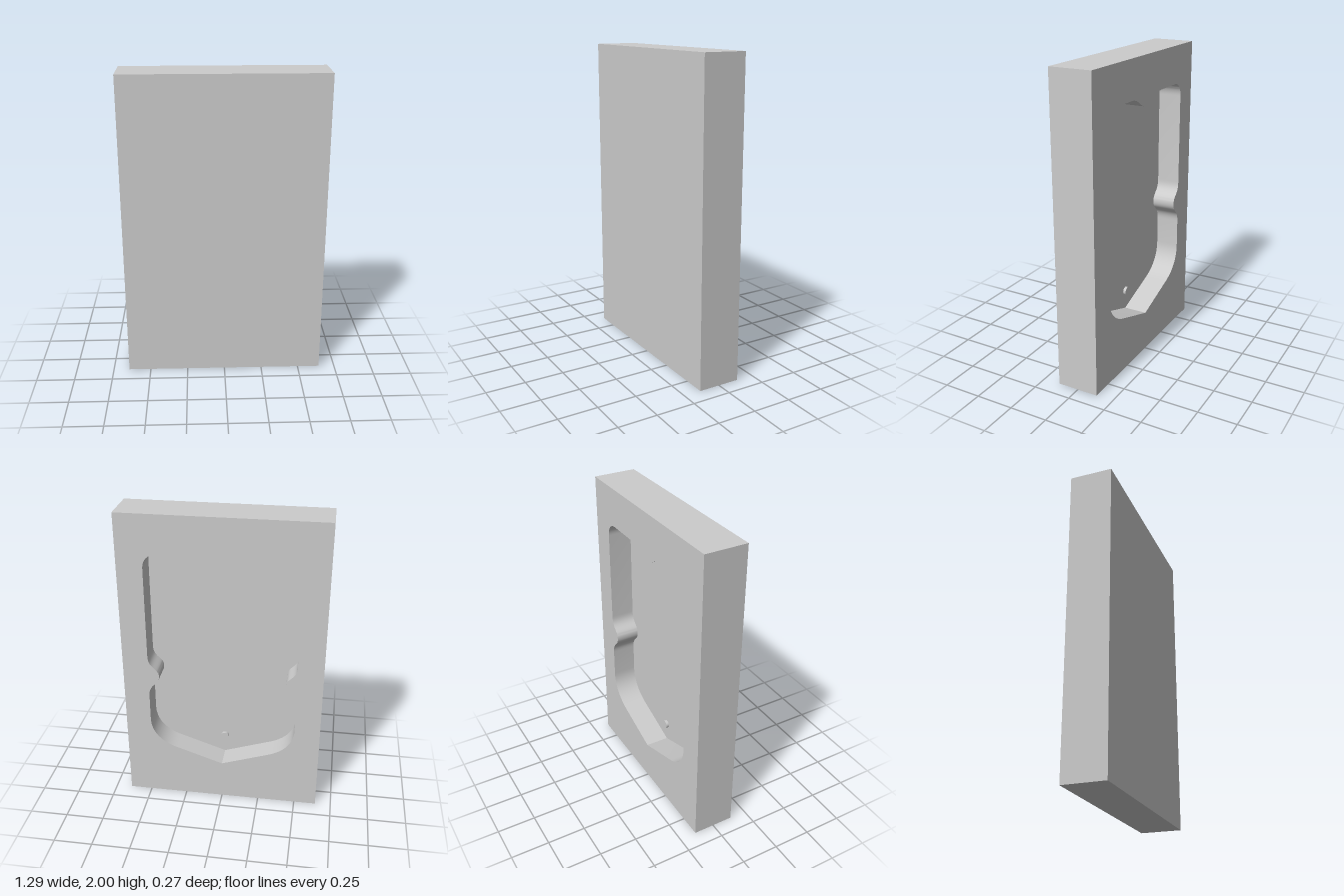
import * as THREE from 'three';
import { toCreasedNormals } from 'three/addons/utils/BufferGeometryUtils.js';

const W = 1.29, H = 2, BACK = -0.137, FRONT = 0.137, FLOOR = 0.018;

// One half of the recess outline, from the bottom point up to the top notch.
// Each entry is a line [x, y] or a cubic [c1x, c1y, c2x, c2y, x, y].
const HALF = [
  [0.31, 0.375],
  [0.41, 0.408, 0.48, 0.48, 0.48, 0.59],
  [0.48, 0.77],
  [0.48, 0.86, 0.41, 0.85, 0.41, 0.917],
  [0.41, 0.98, 0.48, 0.97, 0.48, 1.06],
  [0.48, 1.66],
  [0.48, 1.715, 0.445, 1.753, 0.39, 1.753],
  [0.2, 1.753],
  [0.1, 1.753, 0.09, 1.686, 0, 1.686],
];

function recessPath() {
  const start = [0, 0.27];
  const path = new THREE.Path();
  path.moveTo(...start);
  const add = (p) => (p.length === 2 ? path.lineTo(...p) : path.bezierCurveTo(...p));
  HALF.forEach(add);
  // Mirrored half, walked in reverse
  const flip = (p) => p.map((v, i) => (i % 2 ? v : -v));
  for (let i = HALF.length - 1; i >= 0; i--) {
    const end = i ? HALF[i - 1].slice(-2) : start;
    const s = HALF[i];
    add(flip(s.length === 2 ? end : [s[2], s[3], s[0], s[1], ...end]));
  }
  return path;
}

export function createModel() {
  const group = new THREE.Group();
  const material = new THREE.MeshStandardMaterial({ color: 0xcccccc });
  const add = (name, geometry) => {
    const mesh = new THREE.Mesh(geometry, material);
    mesh.name = name;
    group.add(mesh);
    return mesh;
  };

  // Solid front slab; its rear face is the recess floor
  add('frontSlab', new THREE.BoxGeometry(W, H, FRONT - FLOOR))
    .position.set(0, H / 2, (FRONT + FLOOR) / 2);

  // Rear frame with the contoured opening
  const shape = new THREE.Shape([
    new THREE.Vector2(-W / 2, 0), new THREE.Vector2(W / 2, 0),
    new THREE.Vector2(W / 2, H), new THREE.Vector2(-W / 2, H),
  ]);
  shape.holes.push(recessPath());
  const frame = new THREE.ExtrudeGeometry(shape, {
    depth: FLOOR - BACK, bevelEnabled: false, curveSegments: 14,
  });
  add('rearFrame', toCreasedNormals(frame, 0.5)).position.z = BACK;

  // Small round stud on the recess floor
  const stud = add('floorStud', new THREE.CylinderGeometry(0.028, 0.028, 0.02, 16));
  stud.rotation.x = Math.PI / 2;
  stud.position.set(0, 0.4, FLOOR - 0.008);

  return group;
}
